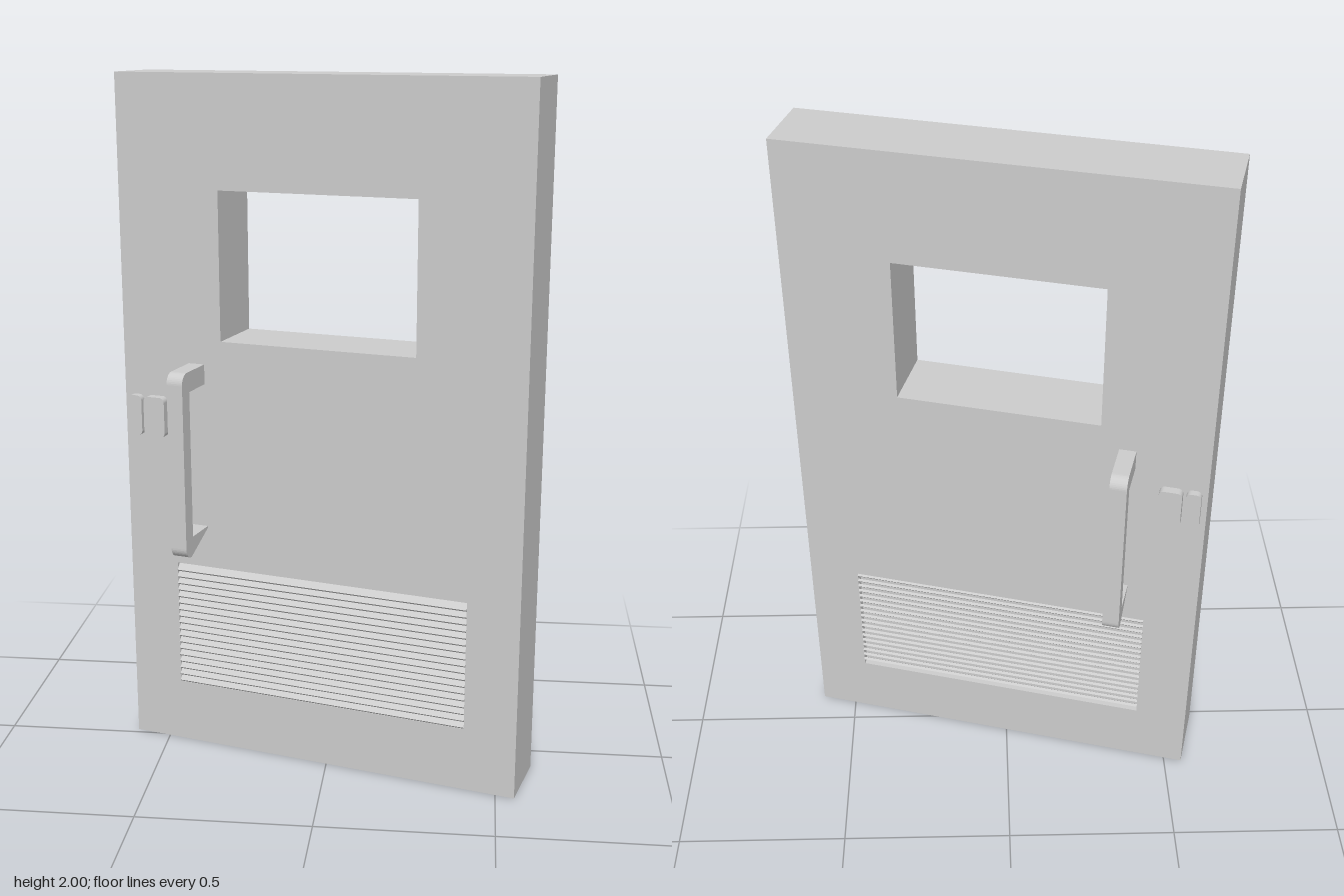
import * as THREE from 'three';

const material = new THREE.MeshStandardMaterial({ color: 0xcccccc, flatShading: true });

function part(name, geometry, parent) {
  const mesh = new THREE.Mesh(geometry, material);
  mesh.name = name;
  parent.add(mesh);
  return mesh;
}

function extrude(shape, depth) {
  return new THREE.ExtrudeGeometry(shape, { depth, bevelEnabled: false, curveSegments: 5 });
}

function rectangle(Type, x0, y0, x1, y1) {
  return new Type([[x0, y0], [x1, y0], [x1, y1], [x0, y1]].map(([x, y]) => new THREE.Vector2(x, y)));
}

function roundedRectangle(w, h, r) {
  const s = new THREE.Shape();
  s.absarc(w / 2 - r, h / 2 - r, r, 0, Math.PI / 2);
  s.absarc(-w / 2 + r, h / 2 - r, r, Math.PI / 2, Math.PI);
  s.absarc(-w / 2 + r, -h / 2 + r, r, Math.PI, Math.PI * 1.5);
  s.absarc(w / 2 - r, -h / 2 + r, r, Math.PI * 1.5, Math.PI * 2);
  s.closePath();
  return s;
}

// C-shaped pull handle: profile in (outward, up), swept across its width
function handleGeometry() {
  const reach = 0.145, low = 0.645, high = 1.19, grip = 0.044, arm = 0.058, r = 0.032, width = 0.048;
  const s = new THREE.Shape();
  s.moveTo(-0.01, low);
  s.absarc(reach - r, low + r, r, -Math.PI / 2, 0);
  s.absarc(reach - r, high - r, r, 0, Math.PI / 2);
  s.lineTo(-0.01, high);
  s.lineTo(-0.01, high - arm);
  s.lineTo(reach - grip, high - arm);
  s.lineTo(reach - grip, low + arm);
  s.lineTo(-0.01, low + arm);
  s.closePath();
  return extrude(s, width).translate(0, 0, -width / 2).rotateY(-Math.PI / 2);
}

export function createModel() {
  const model = new THREE.Group();
  const door = new THREE.Group();
  door.name = 'door';
  door.rotation.y = -Math.PI / 12;
  door.position.z = 0.04;
  model.add(door);

  // Slab with window opening and vent opening
  const vent = { w: 0.894, low: 0.19, high: 0.575 };
  const slab = rectangle(THREE.Shape, -0.6, 0, 0.6, 2);
  slab.holes.push(rectangle(THREE.Path, -0.292, 1.26, 0.288, 1.685));
  slab.holes.push(rectangle(THREE.Path, -vent.w / 2, vent.low, vent.w / 2, vent.high));
  part('doorSlab', extrude(slab, 0.2).translate(0, 0, -0.1), door);

  // Solid core behind the vent slats
  const height = vent.high - vent.low;
  part('ventCore', new THREE.BoxGeometry(vent.w, height, 0.156), door)
    .position.y = (vent.low + vent.high) / 2;

  // Slanted slats on both faces, all tilted the same way
  const slatGeometry = new THREE.BoxGeometry(vent.w, 0.008, 0.03).rotateX(Math.PI / 4);
  const count = 18;
  for (const side of [1, -1]) {
    const slats = new THREE.Group();
    slats.name = side > 0 ? 'frontVentSlats' : 'backVentSlats';
    door.add(slats);
    for (let i = 0; i < count; i++) {
      const y = vent.low + 0.0135 + (height - 0.027) * i / (count - 1);
      part('ventSlat', slatGeometry, slats).position.set(0, y, side * 0.0907);
    }
  }

  // Pull handle and lock plates on each face
  for (const side of [1, -1]) {
    const hardware = new THREE.Group();
    hardware.name = side > 0 ? 'frontHardware' : 'backHardware';
    door.add(hardware);

    const handle = part('pullHandle', handleGeometry(), hardware);
    handle.position.set(-0.369, 0, side * 0.098);
    if (side < 0) handle.rotation.y = Math.PI;

    for (const [name, x, w, depth] of [['latchPlate', -0.562, 0.043, 0.02], ['lockPlate', -0.498, 0.066, 0.025]]) {
      const geometry = extrude(roundedRectangle(w, 0.12, 0.015), depth + 0.01);
      const plate = part(name, geometry, hardware);
      plate.position.set(x, 1.025, side * 0.09);
      if (side < 0) plate.rotation.y = Math.PI;
    }
  }
  return model;
}
